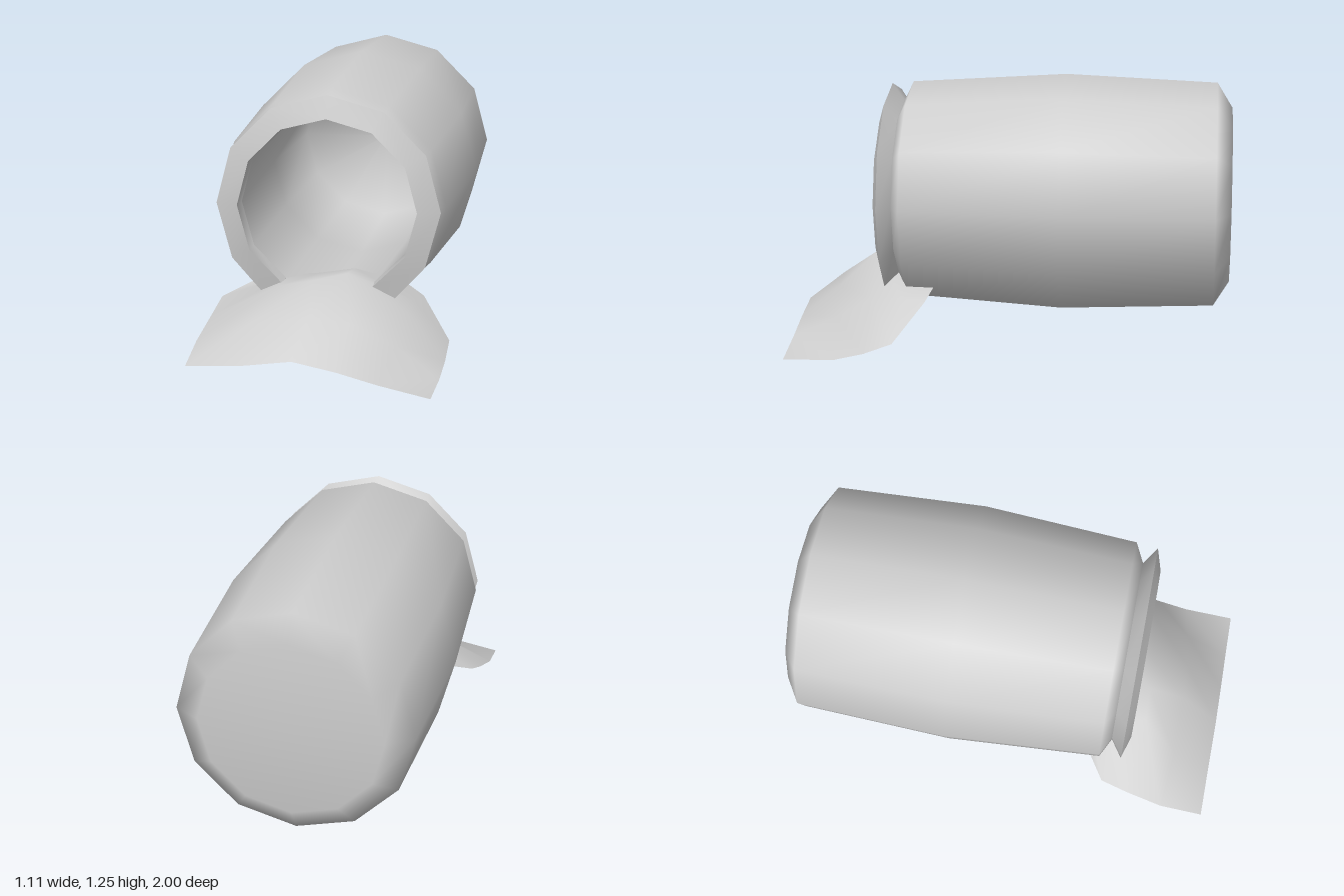
import * as THREE from 'three';
import { toCreasedNormals } from 'three/addons/utils/BufferGeometryUtils.js';

const SIDES = 12;
const AXIS_Y = 0.69;
const material = new THREE.MeshStandardMaterial({ color: 0xcccccc, side: THREE.DoubleSide });

function addMesh(group, name, geometry) {
  const mesh = new THREE.Mesh(geometry, material);
  mesh.name = name;
  group.add(mesh);
  return mesh;
}

function buildGeometry(positions, index) {
  const geometry = new THREE.BufferGeometry();
  geometry.setAttribute('position', new THREE.Float32BufferAttribute(positions, 3));
  geometry.setIndex(index);
  geometry.computeVertexNormals();
  return geometry;
}

// Hollow barrel: closed back, outer wall, mouth, then the inner wall back to its floor
function barrelGeometry() {
  const profile = [
    [0, -1], [0.41, -1], [0.525, -0.93], [0.555, -0.24], [0.51, 0.47], [0.42, 0.515],
    [0.4, 0.515], [0.43, -0.24], [0.41, -0.9], [0, -0.93],
  ].map(([r, z]) => new THREE.Vector2(r, z));
  return new THREE.LatheGeometry(profile, SIDES).rotateX(Math.PI / 2);
}

// Rim around the mouth, left open at the bottom
function rimGeometry() {
  const section = [[0.4, 0.6], [0.5, 0.57], [0.42, 0.515], [0.395, 0.53]];
  const segments = SIDES - 2;
  const n = section.length;
  const positions = [];
  const index = [];
  for (let i = 0; i <= segments; i++) {
    section.forEach(([r, z], j) => {
      // the outer edge stops a little short at both ends
      const trim = j === 1 ? (i === 0 ? 6 : i === segments ? -6 : 0) : 0;
      const a = THREE.MathUtils.degToRad(-60 + 30 * i + trim);
      positions.push(r * Math.cos(a), r * Math.sin(a), z);
      if (i === segments) return;
      const k = (j + 1) % n;
      const p = i * n, q = p + n;
      index.push(p + j, p + k, q + k, p + j, q + k, q + j);
    });
  }
  const e = segments * n;
  index.push(0, 2, 1, 0, 3, 2, e, e + 1, e + 2, e, e + 2, e + 3);
  return toCreasedNormals(buildGeometry(positions, index), 1.0);
}

// Draped sheet: cross-sections from the front edge back into the mouth
function tongueGeometry() {
  const rows = [
    [[-0.535, 0.075, 1], [-0.3, 0.09, 1], [-0.07, 0.125, 1], [0.12, 0.09, 1], [0.3, 0.045, 1], [0.525, 0, 1]],
    [[-0.54, 0.12, 0.8], [-0.3, 0.22, 0.82], [-0.03, 0.27, 0.82], [0.15, 0.25, 0.81], [0.34, 0.15, 0.79], [0.53, 0.005, 0.77]],
    [[-0.52, 0.18, 0.63], [-0.2, 0.35, 0.66], [-0.05, 0.38, 0.65], [0.1, 0.415, 0.63], [0.36, 0.25, 0.62], [0.535, 0.04, 0.63]],
    [[-0.5, 0.235, 0.5], [-0.22, 0.34, 0.52], [-0.05, 0.37, 0.5], [0.11, 0.4, 0.5], [0.37, 0.26, 0.48], [0.535, 0.09, 0.5]],
    [[-0.36, 0.295, 0.4], [-0.2, 0.32, 0.38], [-0.05, 0.33, 0.36], [0.12, 0.34, 0.35], [0.31, 0.3, 0.34], [0.4, 0.25, 0.37]],
  ];
  const cols = rows[0].length;
  const index = [];
  for (let i = 0; i < rows.length - 1; i++) {
    for (let j = 0; j < cols - 1; j++) {
      const a = i * cols + j, b = a + cols;
      index.push(a, a + 1, b + 1, a, b + 1, b);
    }
  }
  return buildGeometry(rows.flat(2), index);
}

export function createModel() {
  const model = new THREE.Group();
  model.name = 'openBarrel';
  addMesh(model, 'barrel', barrelGeometry()).position.y = AXIS_Y;
  addMesh(model, 'rim', rimGeometry()).position.y = AXIS_Y;
  addMesh(model, 'tongue', tongueGeometry());
  return model;
}
